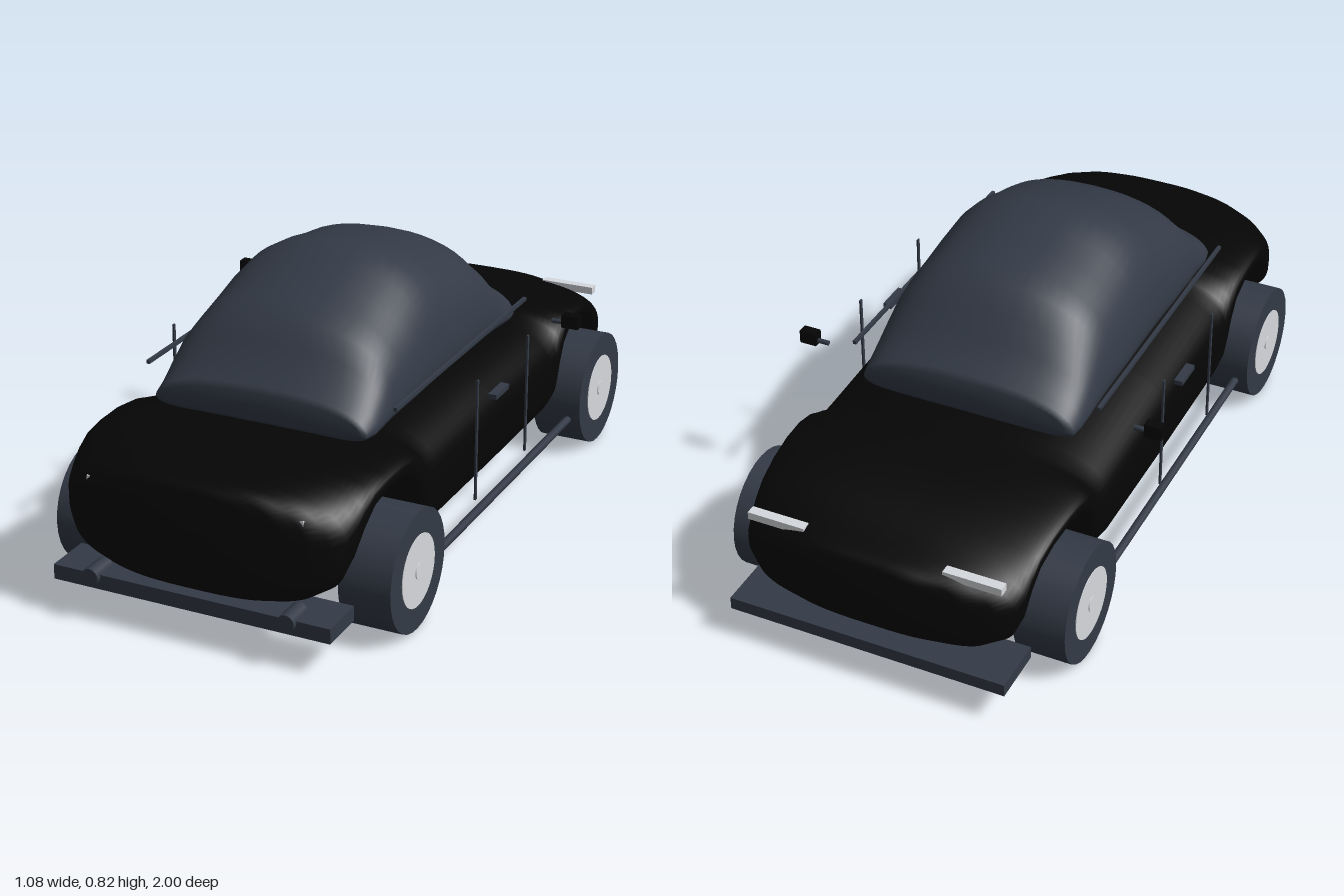
import * as THREE from 'three';

const black = new THREE.MeshStandardMaterial({ name: 'black paint', color: 0x050505 });
const slate = new THREE.MeshStandardMaterial({ name: 'slate', color: 0x333a46 });
const silver = new THREE.MeshStandardMaterial({ name: 'silver', color: 0xd6d9de });

// Smooth half outline, given as [fraction of half width, fraction of height], mirrored to a full ring
function ringFrom(points, samples = 28) {
  const curve = new THREE.CatmullRomCurve3(points.map(([u, v]) => new THREE.Vector3(u, v, 0)));
  const half = curve.getPoints(samples);
  const mirrored = half.slice(1, -1).reverse().map((p) => new THREE.Vector3(-p.x, p.y, 0));
  return [...half, ...mirrored];
}

// Rounded-square ring running clockwise from the top
function superellipseRing(power, count = 64) {
  const bend = (c) => Math.sign(c) * Math.abs(c) ** (2 / power);
  return Array.from({ length: count }, (_, i) => {
    const a = (i / count) * Math.PI * 2;
    return new THREE.Vector3(bend(Math.sin(a)), 0.5 + 0.5 * bend(Math.cos(a)), 0);
  });
}

// Skin over stations [z, bottom, top, halfWidth], ordered from front to back
function loft(stations, ring) {
  const pos = [], index = [], n = ring.length;
  for (const [z, bottom, top, w] of stations)
    for (const p of ring) pos.push(p.x * w, bottom + p.y * (top - bottom), z);
  for (let k = 0; k < stations.length - 1; k++)
    for (let j = 0; j < n; j++) {
      const a = k * n + j, b = k * n + ((j + 1) % n);
      index.push(a, b, a + n, b, b + n, a + n);
    }
  // End caps
  [0, stations.length - 1].forEach((k, end) => {
    const [z, bottom, top] = stations[k];
    const centre = pos.length / 3;
    pos.push(0, (bottom + top) / 2, z);
    for (let j = 0; j < n; j++) {
      const a = k * n + j, b = k * n + ((j + 1) % n);
      if (end === 0) index.push(centre, b, a);
      else index.push(centre, a, b);
    }
  });
  const geo = new THREE.BufferGeometry();
  geo.setAttribute('position', new THREE.Float32BufferAttribute(pos, 3));
  geo.setIndex(index);
  geo.computeVertexNormals();
  return geo;
}

export function createModel() {
  const car = new THREE.Group();
  car.name = 'car';

  const add = (name, geo, mat, x = 0, y = 0, z = 0) => {
    const mesh = new THREE.Mesh(geo, mat);
    mesh.name = name;
    mesh.position.set(x, y, z);
    car.add(mesh);
  };
  const box = (name, mat, w, h, d, x, y, z) => add(name, new THREE.BoxGeometry(w, h, d), mat, x, y, z);
  const rodX = (name, mat, r, len, x, y, z, seg = 16) =>
    add(name, new THREE.CylinderGeometry(r, r, len, seg).rotateZ(Math.PI / 2), mat, x, y, z);
  const rodZ = (name, mat, r, len, x, y, z, seg = 16) =>
    add(name, new THREE.CylinderGeometry(r, r, len, seg).rotateX(Math.PI / 2), mat, x, y, z);

  // Body: the underside rises over the wheels to form the arches
  add('body', loft([
    [0.982, 0.19, 0.425, 0.18], [0.972, 0.16, 0.44, 0.26], [0.955, 0.142, 0.448, 0.32],
    [0.93, 0.135, 0.451, 0.37], [0.895, 0.145, 0.453, 0.402], [0.86, 0.2, 0.454, 0.412],
    [0.82, 0.28, 0.455, 0.418], [0.77, 0.345, 0.456, 0.422], [0.7, 0.37, 0.457, 0.425],
    [0.61, 0.37, 0.458, 0.427], [0.54, 0.33, 0.459, 0.428], [0.5, 0.25, 0.46, 0.429],
    [0.475, 0.17, 0.46, 0.43], [0.455, 0.115, 0.46, 0.43], [0.4, 0.1, 0.46, 0.431],
    [0, 0.1, 0.462, 0.434], [-0.4, 0.1, 0.448, 0.431], [-0.455, 0.115, 0.446, 0.429],
    [-0.487, 0.22, 0.444, 0.427], [-0.52, 0.3, 0.443, 0.425], [-0.57, 0.345, 0.441, 0.422],
    [-0.64, 0.36, 0.437, 0.417], [-0.72, 0.35, 0.428, 0.411], [-0.79, 0.32, 0.412, 0.406],
    [-0.835, 0.26, 0.4, 0.403], [-0.87, 0.18, 0.392, 0.4], [-0.905, 0.143, 0.386, 0.39],
    [-0.94, 0.138, 0.38, 0.345], [-0.965, 0.155, 0.375, 0.27], [-0.983, 0.2, 0.365, 0.15],
  ], superellipseRing(3)), black);

  // Cabin: domed bubble with steep glass at both ends
  const cabinRing = ringFrom([
    [0, 1], [0.3, 0.976], [0.6, 0.878], [0.8, 0.728], [0.92, 0.55], [0.98, 0.37],
    [1, 0.22], [0.98, 0.12], [0.9, 0.04], [0.75, 0.005], [0, 0],
  ]);
  add('cabin', loft([
    [0.598, 0.47, 0.54, 0.29], [0.59, 0.455, 0.56, 0.312], [0.55, 0.45, 0.585, 0.32],
    [0.5, 0.45, 0.65, 0.324], [0.45, 0.45, 0.708, 0.326], [0.38, 0.45, 0.738, 0.328],
    [0.3, 0.45, 0.766, 0.33], [0.22, 0.45, 0.8, 0.33], [0.14, 0.45, 0.818, 0.33],
    [0.05, 0.45, 0.807, 0.33], [-0.05, 0.45, 0.786, 0.33], [-0.13, 0.45, 0.775, 0.329],
    [-0.19, 0.45, 0.753, 0.328], [-0.25, 0.45, 0.7, 0.326], [-0.3, 0.45, 0.642, 0.325],
    [-0.35, 0.45, 0.592, 0.322], [-0.385, 0.45, 0.572, 0.315], [-0.397, 0.465, 0.555, 0.29],
  ], cabinRing), slate);

  // Bumpers
  box('frontBumper', slate, 0.8, 0.042, 0.135, 0, 0.116, 0.9175);
  box('rearBumper', slate, 0.8, 0.036, 0.16, 0, 0.109, -0.92);

  for (const s of [1, -1]) {
    const side = s > 0 ? 'left' : 'right';

    // Wheels with hub discs showing on both faces
    for (const [end, z] of [['Front', 0.66], ['Rear', -0.66]]) {
      rodX(side + end + 'Tyre', slate, 0.167, 0.146, s * 0.416, 0.167, z, 32);
      rodX(side + end + 'Hub', silver, 0.1, 0.15, s * 0.416, 0.167, z, 32);
      rodX(side + end + 'HubCap', silver, 0.022, 0.156, s * 0.416, 0.167, z, 16);
    }

    // Side trim
    rodZ(side + 'Sill', slate, 0.012, 1, s * 0.45, 0.117, 0, 8);
    box(side + 'WindowRail', slate, 0.01, 0.01, 0.88, s * 0.365, 0.543, 0.098);
    for (const z of [0.23, -0.125])
      box(side + 'DoorSeam', slate, 0.005, 0.35, 0.01, s * 0.463, 0.35, z);
    box(side + 'DoorHandle', slate, 0.025, 0.014, 0.09, s * 0.453, 0.425, 0.056);

    // Mirror on a short arm
    rodX(side + 'MirrorArm', slate, 0.007, 0.035, s * 0.477, 0.5, -0.32, 8);
    box(side + 'Mirror', black, 0.05, 0.038, 0.03, s * 0.517, 0.508, -0.32);

    // Lamps
    rodZ(side + 'FogLamp', slate, 0.024, 0.08, s * 0.283, 0.132, 0.96, 16);
    box(side + 'FrontMarker', silver, 0.02, 0.02, 0.028, s * 0.3, 0.385, 0.935);
    box(side + 'RearLamp', silver, 0.165, 0.022, 0.028, s * 0.282, 0.371, -0.923);
  }

  return car;
}
